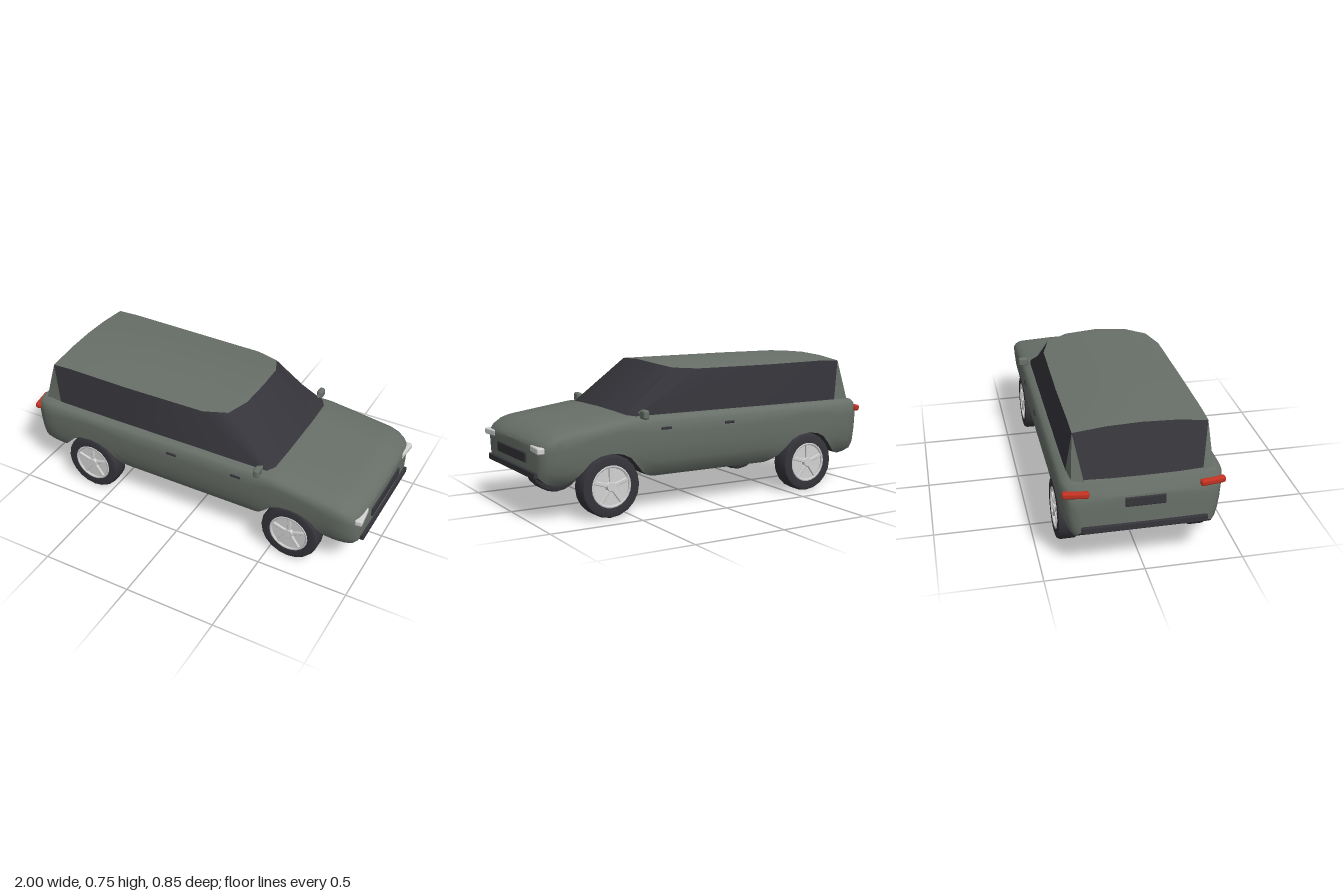
import * as THREE from 'three';
import { toCreasedNormals } from 'three/addons/utils/BufferGeometryUtils.js';
import { RoundedBoxGeometry } from 'three/addons/geometries/RoundedBoxGeometry.js';

const mat = (name, color) => {
  const m = new THREE.MeshStandardMaterial({ color });
  m.name = name;
  return m;
};

// piecewise linear lookup in a short [x, value] table
function lookup(table, x) {
  if (x <= table[0][0]) return table[0][1];
  for (let i = 1; i < table.length; i++) {
    const [x0, a] = table[i - 1], [x1, b] = table[i];
    if (x <= x1) return a + (b - a) * (x - x0) / (x1 - x0);
  }
  return table[table.length - 1][1];
}

// surface through rows of points
function grid(rows, crease = 0.7) {
  const n = rows[0].length, idx = [];
  for (let i = 0; i < rows.length - 1; i++) {
    for (let j = 0; j < n - 1; j++) {
      const a = i * n + j, b = a + n;
      idx.push(a, b, a + 1, b, b + 1, a + 1);
    }
  }
  const g = new THREE.BufferGeometry();
  g.setAttribute('position', new THREE.Float32BufferAttribute(rows.flat(2), 3));
  g.setIndex(idx);
  return toCreasedNormals(g, crease);
}

const flip = pts => pts.map(([x, y, z]) => [x, y, -z]).reverse();

export function createModel() {
  const car = new THREE.Group();
  car.name = 'car';
  const paint = mat('greyGreenPaint', 0x686f68);
  const dark = mat('darkGlassAndRubber', 0x35343a);
  const light = mat('lightMetal', 0xd2d2d2);
  const red = mat('redLens', 0xc23222);
  dark.side = paint.side = THREE.DoubleSide;

  const add = (name, geo, material, x = 0, y = 0, z = 0, parent = car) => {
    const m = new THREE.Mesh(geo, material);
    m.name = name;
    m.position.set(x, y, z);
    parent.add(m);
    return m;
  };
  const box = (w, h, d, r = 0.006) => new RoundedBoxGeometry(w, h, d, 2, r);

  // body outline rules: half width by height, plan taper, top line, bottom line
  const AXLE = 0.615;
  const widthAt = [[0.18, 0.33], [0.21, 0.36], [0.25, 0.38], [0.32, 0.393], [0.4, 0.4]];
  const taper = [[-0.985, 0.8], [-0.975, 0.89], [-0.95, 0.95], [-0.91, 0.985], [-0.86, 1],
    [0.86, 1], [0.91, 0.985], [0.95, 0.95], [0.975, 0.89], [0.985, 0.8]];
  const topLine = [[-0.985, 0.43], [-0.975, 0.455], [-0.95, 0.505], [-0.9, 0.512], [0.5, 0.515],
    [0.7, 0.488], [0.86, 0.466], [0.91, 0.452], [0.95, 0.43], [0.975, 0.41], [0.985, 0.395]];
  const endLine = [[0.87, 0.18], [0.91, 0.19], [0.95, 0.207], [0.975, 0.228], [0.985, 0.245]];
  const arch = [[0, 0.332], [0.06, 0.324], [0.11, 0.3], [0.15, 0.257], [0.19, 0.215], [0.23, 0.19], [0.265, 0.18]];
  const bottomLine = x => Math.max(lookup(endLine, Math.abs(x)), lookup(arch, Math.abs(Math.abs(x) - AXLE)));

  const half = [0.12, 0.35, 0.385, 0.425, 0.465, 0.505, 0.535, 0.555, 0.585, 0.615, 0.645, 0.675,
    0.7, 0.725, 0.745, 0.765, 0.785, 0.805, 0.845, 0.87, 0.91, 0.95, 0.975, 0.985];
  const stations = [...half.map(x => -x).reverse(), 0, ...half];

  const section = x => {
    const yb = bottomLine(x), yt = lookup(topLine, x), k = lookup(taper, x), ys = yt - 0.045;
    const side = [0, 0.12, 0.3, 0.55, 0.8, 1].map(t => {
      const y = yb + (ys - yb) * t;
      return [x, y, lookup(widthAt, y) * k];
    });
    side.push([x, yt - 0.025, 0.386 * k], [x, yt - 0.012, 0.358 * k], [x, yt - 0.003, 0.18 * k]);
    return [...side, [x, yt, 0], ...flip(side)];
  };
  const rows = stations.map(section);
  const close = row => row.map(([x, y]) => [x * 1.004, y, 0]);
  add('body', grid([close(rows[0]), ...rows, close(rows[rows.length - 1])]), paint);
  add('underside', grid(rows.map(r => [r[r.length - 1], r[0]]), 0.5), dark);

  // crowned roof
  const roofY = (x, z) => lookup([[-0.86, 0.742], [-0.75, 0.75], [-0.4, 0.755]], x)
    - lookup([[-0.86, 0.024], [-0.4, 0.035]], x) * (z / 0.33) ** 2;
  const roofEdge = [[-0.86, 0.33], [-0.75, 0.33], [-0.4, 0.33], [0.07, 0.322], [0.2, 0.28], [0.25, 0.17], [0.26, 0]];
  add('roof', grid(roofEdge.map(([x, w]) =>
    [1, 0.5, 0, -0.5, -1].map(f => [x, roofY(x, w * f), w * f]))), paint);

  // wraparound windscreen and side windows
  const top = roofEdge.map(([x, z]) => [x, roofY(x, z), z]).reverse();
  const base = [[0.5, 0.512, 0], [0.5, 0.508, 0.17], [0.495, 0.5, 0.31], [0.47, 0.497, 0.355],
    [-0.4, 0.497, 0.358], [-0.75, 0.497, 0.358], [-0.82, 0.497, 0.357]];
  const wrap = pts => [...flip(pts.slice(1)), ...pts];
  add('windscreenAndSideWindows', grid([wrap(base), wrap(top)]), dark);

  // rear window and the painted pillars beside it
  const corner = top[top.length - 1];
  const rearTop = [corner, [-0.86, roofY(-0.86, 0.165), 0.165], [-0.86, roofY(-0.86, 0), 0]];
  const rearBase = [[-0.945, 0.51, 0.29], [-0.95, 0.507, 0.165], [-0.952, 0.507, 0]];
  const mirrorOn = pts => [...pts, ...flip(pts.slice(0, -1))];
  add('rearWindow', grid([mirrorOn(rearBase), mirrorOn(rearTop)]), dark);
  const pillar = [[-0.82, 0.497, 0.357], [-0.92, 0.49, 0.348], [-0.945, 0.497, 0.29], [-0.945, 0.51, 0.29]];
  const apex = pillar.map(() => corner);
  add('leftRearPillar', grid([pillar, apex]), paint);
  add('rightRearPillar', grid([flip(pillar), flip(apex)]), paint);

  // bumpers and plates
  add('frontBumper', box(0.05, 0.034, 0.63), dark, 0.975, 0.243, 0);
  add('rearBumper', box(0.05, 0.036, 0.62), dark, -0.975, 0.256, 0);
  add('frontPlate', box(0.02, 0.052, 0.385), dark, 0.986, 0.316, 0);
  add('rearPlate', box(0.02, 0.05, 0.2), dark, -0.986, 0.39, 0);

  // wheel shapes
  const tyreGeo = toCreasedNormals(new THREE.LatheGeometry([
    [0.108, -0.05], [0.145, -0.053], [0.156, -0.049], [0.162, -0.036], [0.162, 0.036],
    [0.156, 0.049], [0.145, 0.053], [0.108, 0.05], [0.108, -0.05],
  ].map(([r, y]) => new THREE.Vector2(r, y)), 20), 0.6).rotateX(Math.PI / 2);
  const discGeo = new THREE.CylinderGeometry(0.109, 0.109, 0.076, 24).rotateX(Math.PI / 2);
  const rimGeo = new THREE.TorusGeometry(0.104, 0.008, 6, 24);
  const hubGeo = new THREE.CylinderGeometry(0.024, 0.03, 0.02, 10).rotateX(Math.PI / 2);
  const boreGeo = new THREE.CylinderGeometry(0.012, 0.012, 0.004, 10).rotateX(Math.PI / 2);
  const spokeGeo = box(0.09, 0.02, 0.014, 0.004);

  for (const s of [1, -1]) {
    const side = s > 0 ? 'left' : 'right';

    for (const [end, x] of [['Front', AXLE], ['Rear', -AXLE]]) {
      const wheel = new THREE.Group();
      wheel.name = side + end + 'Wheel';
      wheel.position.set(x, 0.163, s * 0.337);
      if (s < 0) wheel.rotation.y = Math.PI;
      car.add(wheel);
      add('tyre', tyreGeo, dark, 0, 0, 0, wheel);
      add('wheelDisc', discGeo, light, 0, 0, 0, wheel);
      add('rim', rimGeo, light, 0, 0, 0.046, wheel);
      add('hub', hubGeo, light, 0, 0, 0.044, wheel);
      add('innerBore', boreGeo, dark, 0, 0, -0.038, wheel);
      for (let i = 0; i < 5; i++) {
        const a = Math.PI / 2 + i * Math.PI * 0.4;
        add('spoke', spokeGeo, light, Math.cos(a) * 0.06, Math.sin(a) * 0.06, 0.042, wheel).rotation.z = a;
      }
    }

    // lamps
    add(side + 'Headlight', box(0.04, 0.034, 0.126, 0.009), light, 0.974, 0.373, s * 0.304).rotation.y = s * 0.1;
    add(side + 'TailLight', box(0.034, 0.034, 0.13, 0.012), red, -0.967, 0.446, s * 0.334).rotation.y = s * 0.16;

    // mirror on a short arm
    add(side + 'Mirror', box(0.034, 0.048, 0.055, 0.012), paint, 0.43, 0.515, s * 0.395);
    add(side + 'MirrorArm', box(0.02, 0.026, 0.05), paint, 0.43, 0.51, s * 0.36);

    // door handles
    for (const x of [-0.08, 0.305]) {
      add(side + 'DoorHandle', box(0.058, 0.014, 0.012, 0.004), dark, x, 0.437, s * 0.4);
    }
  }
  return car;
}
